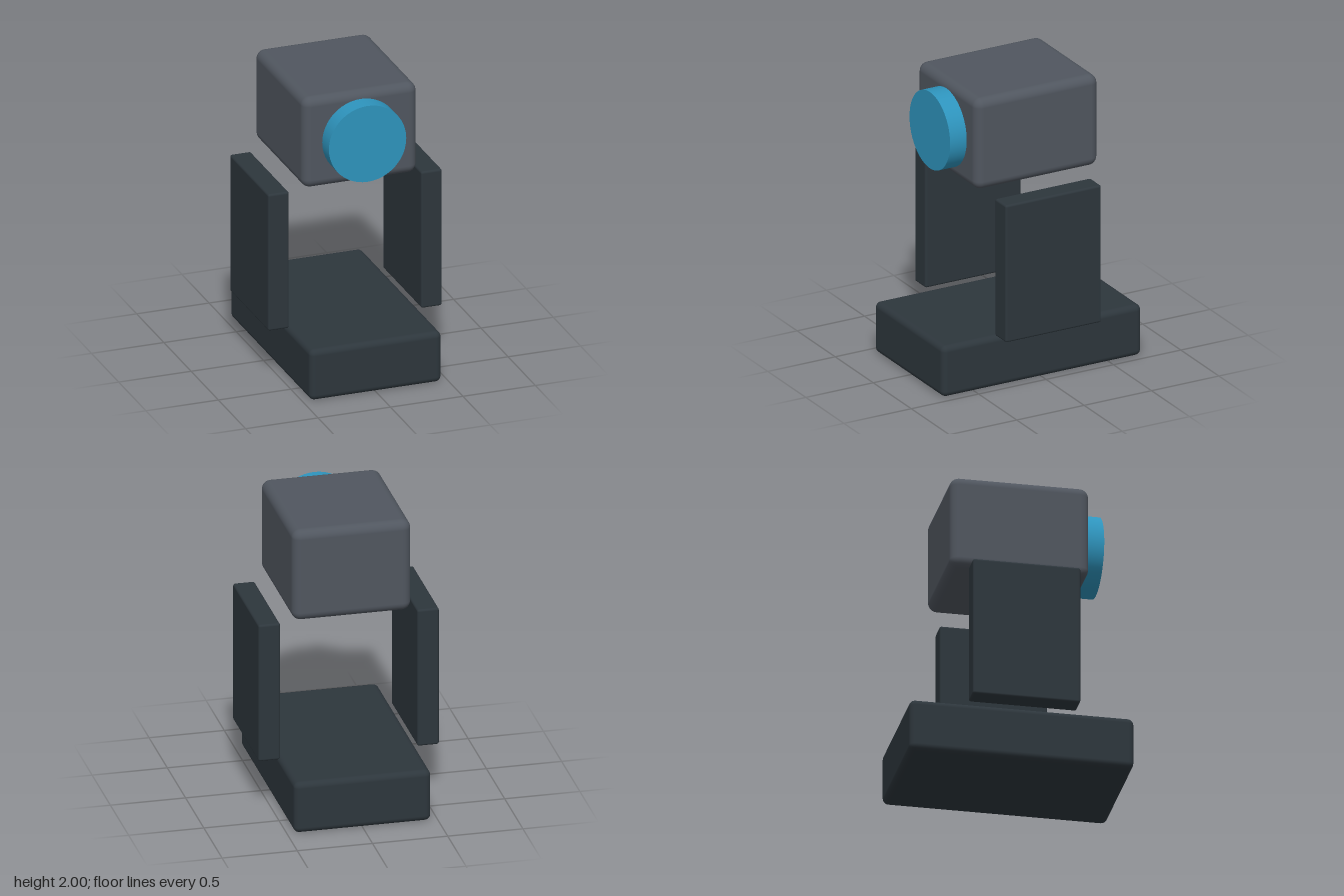
import * as THREE from 'three';
import { RoundedBoxGeometry } from 'three/addons/geometries/RoundedBoxGeometry.js';

function material(name, color) {
  const m = new THREE.MeshStandardMaterial({ color });
  m.name = name;
  return m;
}

export function createModel() {
  const group = new THREE.Group();
  const charcoal = material('charcoal', 0x2d363c);
  const slate = material('slate grey', 0x50565f);
  const blue = material('lens blue', 0x2e94bd);

  const add = (name, geometry, mat, x, y, z) => {
    const mesh = new THREE.Mesh(geometry, mat);
    mesh.name = name;
    mesh.position.set(x, y, z);
    group.add(mesh);
    return mesh;
  };

  // Base slab
  add('base', new RoundedBoxGeometry(0.91, 0.355, 1.48, 3, 0.04), charcoal, 0, 0.1775, 0);

  // Two upright side arms, floating just above the base
  for (const [side, s] of [['left', 1], ['right', -1]]) {
    add(side + 'Arm', new RoundedBoxGeometry(0.145, 0.96, 0.71, 3, 0.015), charcoal, s * 0.528, 0.843, 0);
  }

  // Camera head
  add('head', new RoundedBoxGeometry(0.79, 0.635, 0.914, 4, 0.06), slate, 0, 1.6825, 0);

  // Lens disc, partly sunk in the front of the head
  const lens = new THREE.CylinderGeometry(0.267, 0.267, 0.18, 48).rotateX(Math.PI / 2);
  add('lens', lens, blue, 0, 1.6825, 0.49);

  return group;
}
